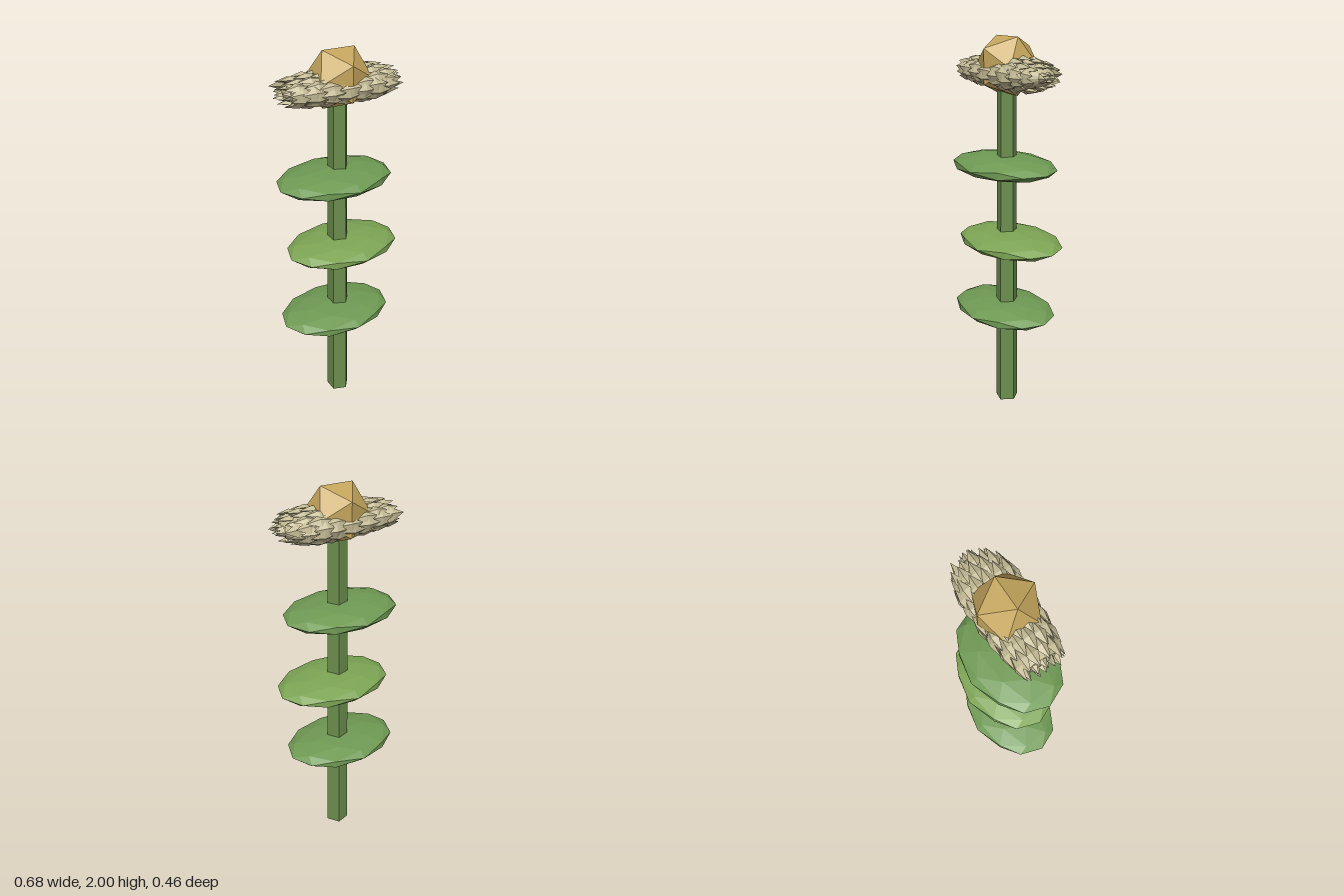
import * as THREE from 'three';
import { mergeGeometries } from 'three/addons/utils/BufferGeometryUtils.js';

const mat = (color) => new THREE.MeshStandardMaterial({ color, flatShading: true });

function add(parent, name, geometry, material, y = 0) {
  const mesh = new THREE.Mesh(geometry, material);
  mesh.name = name;
  mesh.position.y = y;
  parent.add(mesh);
  return mesh;
}

// Ruff of pointed scales, elongated along x, around a faceted core
function createRuff() {
  const ruff = new THREE.Group();
  ruff.name = 'petalRuff';
  ruff.position.y = 1.825;
  const material = mat(0xc4bb95);
  const RY = 0.075, RZ = 0.137;

  // core: profile as [x, relative radius]
  const profile = [[-0.285, 0], [-0.275, 0.5], [-0.15, 0.86], [0, 0.97], [0.18, 0.97], [0.27, 0.58], [0.315, 0]];
  const core = new THREE.LatheGeometry(profile.map(([x, r]) => new THREE.Vector2(r, x)), 14);
  core.rotateZ(-Math.PI / 2).scale(1, RY, RZ);
  add(ruff, 'petalCore', core, material);

  // rows: [x, relative radius, number of petals]
  const rows = [
    [-0.25, 0.35, 6], [-0.24, 0.74, 12], [-0.17, 0.86, 14], [-0.09, 0.94, 14], [-0.01, 1, 14],
    [0.07, 1, 14], [0.14, 1, 14], [0.2, 0.88, 14], [0.24, 0.64, 10], [0.268, 0.22, 6],
  ];
  const petals = [];
  rows.forEach(([x, f, n], row) => {
    for (let i = 0; i < n; i++) {
      const a = ((i + (row % 2) * 0.5) / n) * Math.PI * 2;
      const shift = 0.012 * Math.sin(i * 2.4 + row * 1.7);
      const petal = new THREE.OctahedronGeometry(1);
      petal.scale(0.068, 0.016, 0.032);
      // lay the flat side against the oval surface
      petal.rotateX(Math.atan2(Math.sin(a) / RZ, Math.cos(a) / RY));
      petal.translate(x + (f < 0.4 ? 0 : shift), Math.cos(a) * RY * f, Math.sin(a) * RZ * f);
      petals.push(petal);
    }
  });
  add(ruff, 'petals', mergeGeometries(petals), material);
  return ruff;
}

export function createModel() {
  const model = new THREE.Group();
  model.name = 'flower';

  // five-sided tapering stem
  const stem = new THREE.CylinderGeometry(0.05, 0.063, 1.8, 5);
  stem.rotateY(Math.PI / 2);
  add(model, 'stem', stem, mat(0x6b8e4e), 0.9).position.x = -0.002;

  // flat leaves, alternately turned half round
  const leafGeometry = new THREE.IcosahedronGeometry(1, 1);
  leafGeometry.scale(0.317, 0.06, 0.228).translate(-0.024, 0, 0);
  [0.55, 0.95, 1.35].forEach((y, i) => {
    const leaf = add(model, 'leaf', leafGeometry, mat(i === 1 ? 0x7da555 : 0x6f9a54), y);
    leaf.rotation.y = 0.09 + i * Math.PI;
  });

  // blossom
  model.add(createRuff());
  add(model, 'flowerCentre', new THREE.IcosahedronGeometry(0.165, 0), mat(0xc4a55c), 1.86);
  return model;
}
